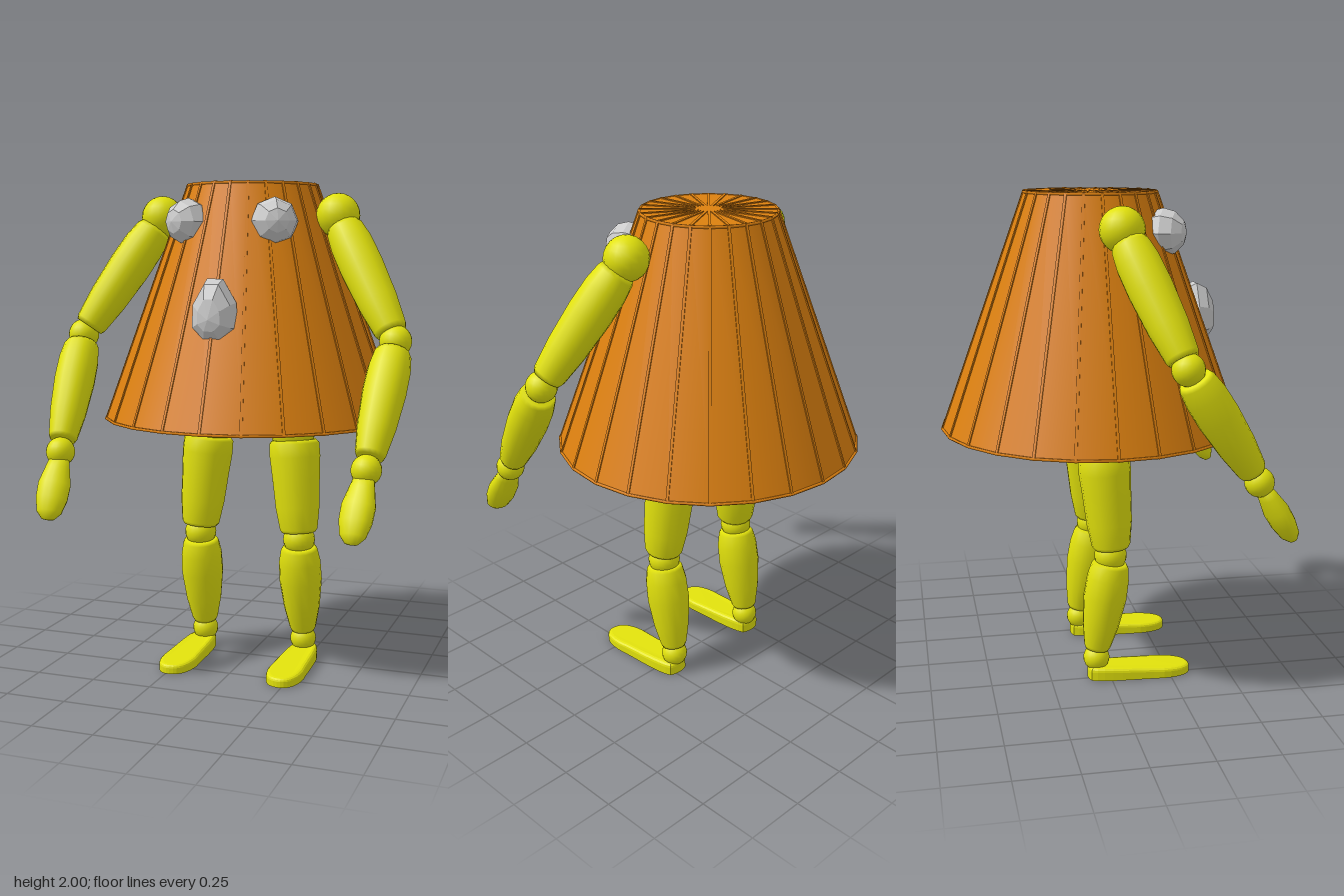
import * as THREE from 'three';

const YELLOW = new THREE.MeshStandardMaterial({ color: 0xe2e20c });
const ORANGE = new THREE.MeshStandardMaterial({ color: 0xdc800f, side: THREE.DoubleSide });
const GREY = new THREE.MeshStandardMaterial({ color: 0xcccccc, flatShading: true });
const UP = new THREE.Vector3(0, 1, 0);
const SIDES = 24;

function add(parent, name, geometry, material, position = [0, 0, 0]) {
  const mesh = new THREE.Mesh(geometry, material);
  mesh.name = name;
  mesh.position.set(...position);
  parent.add(mesh);
  return mesh;
}

// Turned solid running from a to b; profile is a list of [radius, fraction of length]
function turned(parent, name, a, b, profile) {
  const start = new THREE.Vector3(...a);
  const dir = new THREE.Vector3(...b).sub(start);
  const length = dir.length();
  const points = profile.map(([r, t]) => new THREE.Vector2(r, t * length));
  const mesh = add(parent, name, new THREE.LatheGeometry(points, 16), YELLOW, a);
  mesh.quaternion.setFromUnitVectors(UP, dir.normalize());
  return mesh;
}

// Limb segment with softly rounded, closed ends
function segment(parent, name, a, b, r0, rMid, r1) {
  return turned(parent, name, a, b, [
    [0, 0], [r0 * 0.88, 0.005], [r0, 0.04], [(r0 + rMid) / 2 + 0.004, 0.18], [rMid, 0.4],
    [(rMid + r1) / 2 + 0.003, 0.72], [r1, 0.96], [r1 * 0.88, 0.995], [0, 1],
  ]);
}

function ball(parent, name, position, r) {
  return add(parent, name, new THREE.SphereGeometry(r, 18, 12), YELLOW, position);
}

function makeShade() {
  const shade = new THREE.Group();
  shade.name = 'shade';
  // Profile from the recessed underside, round the rim, to the top centre
  const profile = [[0, 1.11], [0.3, 1.11], [0.617, 1.04], [0.268, 1.997], [0, 1.997]];
  const names = ['innerPlate', 'underside', 'wall', 'topCap'];
  names.forEach((name, i) => {
    const points = [profile[i], profile[i + 1]].map(([r, y]) => new THREE.Vector2(r, y));
    add(shade, name, new THREE.LatheGeometry(points, SIDES), ORANGE);
    // Thin ribs follow every corner of the section
    const a = new THREE.Vector3(points[0].x, points[0].y, 0);
    const b = new THREE.Vector3(points[1].x, points[1].y, 0);
    const dir = b.clone().sub(a);
    for (let k = 0; k < SIDES; k++) {
      const spoke = new THREE.Group();
      spoke.rotation.y = (k * Math.PI * 2) / SIDES;
      const rib = add(spoke, 'rib', new THREE.BoxGeometry(0.008, dir.length(), 0.011), ORANGE);
      rib.position.copy(a).add(b).multiplyScalar(0.5);
      rib.quaternion.setFromUnitVectors(UP, dir.clone().normalize());
      shade.add(spoke);
    }
  });
  // Hoops at the rims
  for (const [r, y] of [[0.3, 1.11], [0.617, 1.043], [0.268, 1.994]]) {
    add(shade, 'hoop', new THREE.TorusGeometry(r, 0.006, 6, SIDES), ORANGE, [0, y, 0]).rotation.x = Math.PI / 2;
  }
  shade.position.z = -0.04;
  return shade;
}

// Arm on the +x side
function makeArm() {
  const arm = new THREE.Group();
  const shoulder = [0.38, 1.868, 0.015], elbow = [0.662, 1.385, 0.205], wrist = [0.625, 0.935, 0.5];
  ball(arm, 'shoulder', shoulder, 0.088);
  segment(arm, 'upperArm', [0.405, 1.825, 0.032], [0.645, 1.415, 0.193], 0.075, 0.087, 0.066);
  ball(arm, 'elbow', elbow, 0.063);
  segment(arm, 'forearm', [0.659, 1.35, 0.228], [0.63, 0.975, 0.474], 0.072, 0.083, 0.058);
  ball(arm, 'wrist', wrist, 0.058);
  // Mitten hand, flattened front to back
  const hand = turned(arm, 'hand', [0.622, 0.92, 0.51], [0.608, 0.688, 0.65], [
    [0, 0], [0.038, 0.02], [0.05, 0.2], [0.066, 0.45], [0.064, 0.68], [0.05, 0.88], [0.026, 0.98], [0, 1],
  ]);
  hand.scale.z = 0.72;
  return arm;
}

// Leg on the +x side
function makeLeg() {
  const leg = new THREE.Group();
  ball(leg, 'hip', [0.185, 0.985, -0.02], 0.094);
  segment(leg, 'thigh', [0.19, 0.95, -0.02], [0.222, 0.56, 0.008], 0.106, 0.101, 0.08);
  ball(leg, 'knee', [0.222, 0.53, 0.004], 0.067);
  segment(leg, 'calf', [0.222, 0.502, 0.004], [0.225, 0.12, -0.054], 0.077, 0.09, 0.056);
  ball(leg, 'ankle', [0.225, 0.082, -0.056], 0.055);

  // Foot: rounded sole outline, thinned toward the toes
  const sole = new THREE.Shape();
  sole.moveTo(-0.045, 0.085);
  sole.quadraticCurveTo(0, 0.105, 0.045, 0.085);
  sole.bezierCurveTo(0.072, 0.03, 0.066, -0.1, 0.076, -0.22);
  sole.bezierCurveTo(0.074, -0.31, 0.04, -0.345, 0, -0.34);
  sole.bezierCurveTo(-0.045, -0.335, -0.068, -0.3, -0.074, -0.22);
  sole.bezierCurveTo(-0.066, -0.1, -0.072, 0.03, -0.045, 0.085);
  const foot = new THREE.ExtrudeGeometry(sole, {
    depth: 0.036, bevelThickness: 0.018, bevelSize: 0.016, bevelOffset: -0.016, bevelSegments: 3, curveSegments: 8,
  });
  foot.rotateX(-Math.PI / 2);
  const p = foot.attributes.position;
  for (let i = 0; i < p.count; i++) {
    const taper = 1 - 0.32 * THREE.MathUtils.clamp((p.getZ(i) + 0.02) / 0.36, 0, 1);
    p.setY(i, Math.max(0, p.getY(i)) * taper);
  }
  foot.computeVertexNormals();
  add(leg, 'foot', foot, YELLOW, [0.233, 0, 0]);
  return leg;
}

function makeFace() {
  const face = new THREE.Group();
  face.name = 'face';
  // Faceted eyes half sunk into the wall
  for (const side of [1, -1]) {
    const eye = new THREE.SphereGeometry(0.094, 8, 6).rotateX(Math.PI / 2);
    add(face, 'eye', eye, GREY, [side * 0.18, 1.842, 0.22]).rotation.y = side * 0.45;
  }
  // Pear-shaped nose, stretched and pinched upward
  const nose = new THREE.SphereGeometry(0.095, 8, 6).rotateX(Math.PI / 2).rotateZ(Math.PI / 8);
  const p = nose.attributes.position;
  for (let i = 0; i < p.count; i++) {
    const up = Math.max(0, p.getY(i));
    p.setX(i, p.getX(i) * (1.04 - 1.5 * up));
    p.setY(i, p.getY(i) + up * 0.75);
    p.setZ(i, p.getZ(i) * 0.9);
  }
  nose.computeVertexNormals();
  add(face, 'nose', nose, GREY, [0, 1.468, 0.4]);
  return face;
}

export function createModel() {
  const model = new THREE.Group();
  model.name = 'shadeFigure';
  model.add(makeShade(), makeFace());
  // Limbs are built once for the left and mirrored for the right
  for (const [name, make] of [['Arm', makeArm], ['Leg', makeLeg]]) {
    const left = make();
    left.name = 'left' + name;
    const right = make();
    right.name = 'right' + name;
    right.scale.x = -1;
    model.add(left, right);
  }
  return model;
}
